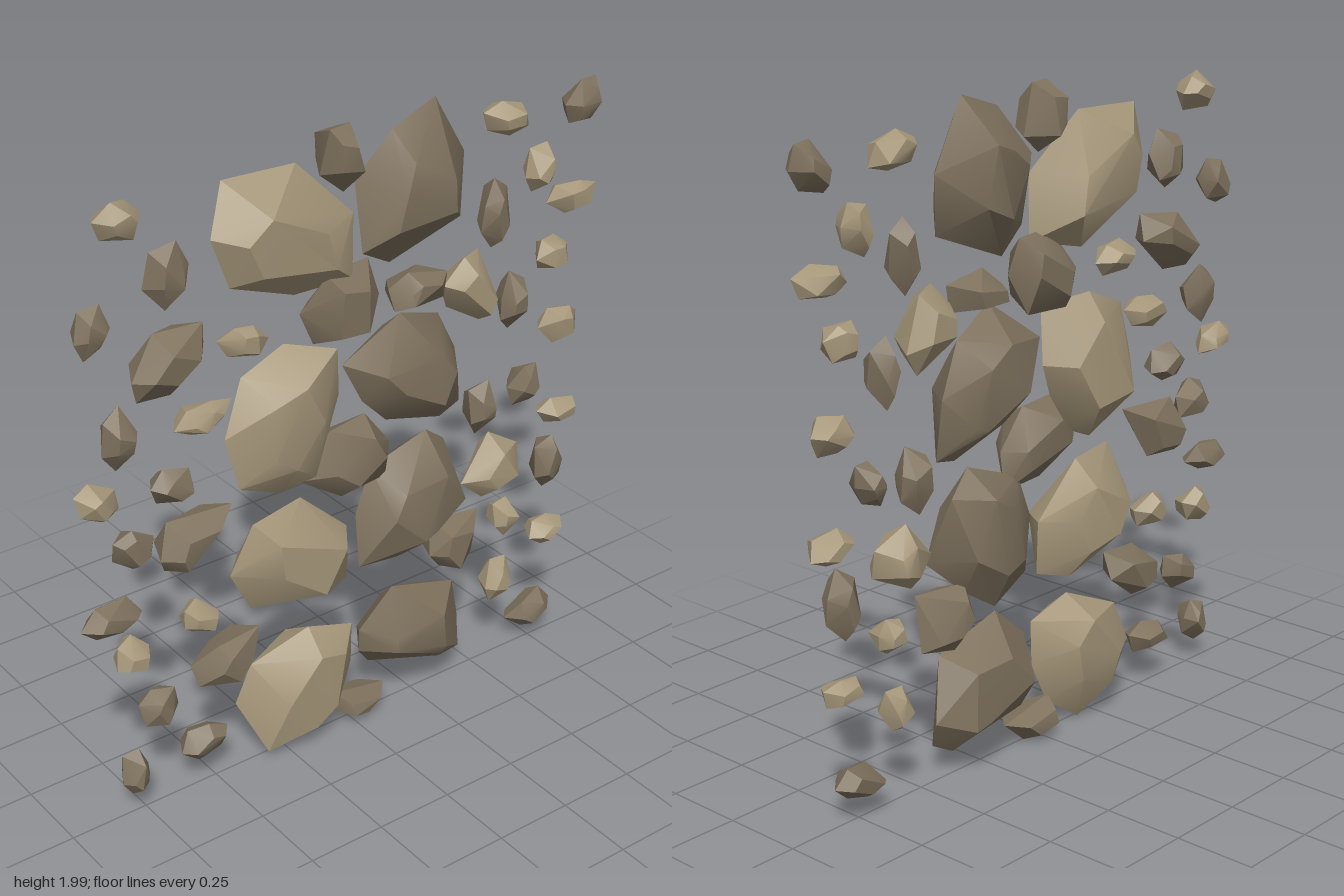
import * as THREE from 'three';
import { toCreasedNormals } from 'three/addons/utils/BufferGeometryUtils.js';
import { ConvexGeometry } from 'three/addons/geometries/ConvexGeometry.js';

// Outlines as x, y pairs, going round each stone
const LARGE_LIGHT = [
  [-.39, 1.91, -.16, 1.91, 0, 1.74, 0, 1.54, -.16, 1.51, -.41, 1.62, -.47, 1.78],
  [-.35, 1.31, -.2, 1.37, -.06, 1.34, -.03, 1.17, -.14, .95, -.24, .91, -.4, .99, -.43, 1.15],
  [-.36, .86, -.16, .86, .01, .7, 0, .53, -.11, .5, -.35, .55, -.43, .7],
  [-.35, .34, -.16, .42, 0, .37, 0, .23, -.05, .1, -.18, .01, -.33, .04, -.4, .21],
];
const LARGE_DARK = [
  [.04, 1.81, .14, 1.95, .31, 2, .44, 1.8, .4, 1.62, .16, 1.53, .04, 1.6],
  [-.02, 1.26, .16, 1.39, .34, 1.32, .43, 1.17, .44, .99, .35, .97, .14, 1.03, .04, 1.13],
  [.04, .73, .1, .87, .3, .94, .39, .87, .43, .67, .33, .57, .22, .5, .04, .55],
  [.02, .34, .15, .45, .39, .38, .46, .2, .43, .11, .37, .08, .11, .15, .03, .25],
];
const MEDIUM_LIGHT = [
  [.33, 1.42, .41, 1.49, .5, 1.48, .55, 1.32, .5, 1.25, .37, 1.33],
  [.43, .71, .56, .84, .66, .78, .65, .69, .52, .63],
];
const MEDIUM_DARK = [
  [-.08, 2, 0, 2, .04, 1.85, -.02, 1.8, -.09, 1.86],
  [-.09, 1.57, .08, 1.57, .1, 1.46, .05, 1.34, -.1, 1.34, -.15, 1.45],
  [.15, 1.45, .2, 1.5, .34, 1.47, .33, 1.39, .15, 1.39],
  [-.08, 1.07, .07, 1.07, .16, .95, .15, .83, -.03, .83, -.18, .93],
  [-.73, 1.43, -.64, 1.54, -.5, 1.55, -.48, 1.47, -.61, 1.36, -.71, 1.36],
  [-.67, .85, -.63, .95, -.42, .95, -.49, .79, -.63, .78],
  [-.56, .42, -.49, .49, -.34, .5, -.33, .42, -.44, .34, -.55, .36],
  [.3, .5, .33, .6, .5, .6, .5, .43, .38, .41],
  [-.06, .12, .14, .08, .06, .01, -.06, .05],
];
// Pebbles: x, y, half length, half width, angle in degrees
const PEBBLES_LIGHT = [
  [-.74, 1.9, .075, .06, -20], [-.36, 1.44, .08, .05, -20], [-.5, 1.25, .1, .05, 0],
  [-.85, 1.1, .08, .05, -15], [-.77, .56, .06, .06, -30], [-.54, .6, .07, .05, -30],
  [.57, 1.88, .08, .055, -10], [.71, 1.69, .08, .05, 85], [.84, 1.57, .09, .05, 0],
  [.77, 1.4, .075, .055, -10], [.82, 1.15, .075, .06, -10], [.83, .84, .08, .05, 0],
  [.62, .52, .06, .045, 90], [.8, .41, .075, .045, 0], [.6, .29, .085, .05, 75],
];
const PEBBLES_DARK = [
  [-.6, 1.71, .1, .065, 90], [-.84, 1.61, .08, .05, 80], [-.77, 1.26, .095, .055, 95],
  [-.61, 1.07, .075, .06, 0], [-.75, .92, .08, .06, -20], [-.83, .71, .095, .05, 10],
  [-.69, .35, .07, .06, 30], [-.78, .15, .075, .045, 90], [-.54, .16, .08, .055, 0],
  [.86, 1.87, .08, .055, 70], [.54, 1.59, .11, .05, 80], [.62, 1.28, .1, .05, 85],
  [.68, .98, .075, .045, 70], [.51, .95, .1, .055, 95], [.79, .66, .1, .055, 100],
  [.75, .12, .09, .055, 20],
];

export function createModel() {
  const model = new THREE.Group();
  model.name = 'stonePaving';
  const light = new THREE.MeshStandardMaterial({ color: 0xa6977a });
  light.name = 'lightStone';
  const dark = new THREE.MeshStandardMaterial({ color: 0x7f725e });
  dark.name = 'darkStone';

  let seed = 17;
  const rand = (a, b) => {
    seed = (seed * 16807) % 2147483647;
    return a + (b - a) * (seed / 2147483647);
  };

  // A stone: its outline near the middle plane, with a smaller worn face front and back
  const addStone = (name, outline, thick, material) => {
    const n = outline.length;
    const centre = outline.reduce((c, p) => c.add(p), new THREE.Vector2()).divideScalar(n);
    const points = outline.map((p) => new THREE.Vector3(p.x, p.y, rand(-0.4, 0.4) * thick));
    for (const side of [-1, 1]) {
      const count = n > 6 ? 5 : 4;
      const start = rand(0, n);
      for (let i = 0; i < count; i++) {
        const p = outline[Math.floor(start + (i * n) / count) % n];
        const q = centre.clone().lerp(p, rand(0.42, 0.68));
        points.push(new THREE.Vector3(q.x, q.y, side * thick * (i === 0 ? 1 : rand(0.8, 1))));
      }
    }
    const mesh = new THREE.Mesh(toCreasedNormals(new ConvexGeometry(points), 0.5), material);
    mesh.name = name;
    model.add(mesh);
  };

  const addOutlined = (name, list, thick, material) => list.forEach((flat) => {
    const outline = [];
    for (let i = 0; i < flat.length; i += 2) outline.push(new THREE.Vector2(flat[i], flat[i + 1]));
    addStone(name, outline, thick, material);
  });

  // Irregular six-sided pebble outline, turned to its angle
  const addPebbles = (list, material) => list.forEach(([x, y, a, b, deg]) => {
    const shape = [[-1, -0.25], [-0.6, 0.8], [0.2, 1], [1, 0.45], [0.75, -0.7], [-0.35, -1]];
    const flip = rand(0, 1) < 0.5 ? -1 : 1;
    const outline = shape.map(([u, v]) => new THREE.Vector2(
      u * a * rand(0.92, 1.04), v * flip * b * rand(0.9, 1.05),
    ).rotateAround(new THREE.Vector2(), THREE.MathUtils.degToRad(deg)).add(new THREE.Vector2(x, y)));
    addStone('pebble', outline, 0.05, material);
  });

  addOutlined('largeStone', LARGE_LIGHT, 0.1, light);
  addOutlined('largeStone', LARGE_DARK, 0.1, dark);
  addOutlined('mediumStone', MEDIUM_LIGHT, 0.075, light);
  addOutlined('mediumStone', MEDIUM_DARK, 0.075, dark);
  addPebbles(PEBBLES_LIGHT, light);
  addPebbles(PEBBLES_DARK, dark);
  return model;
}
